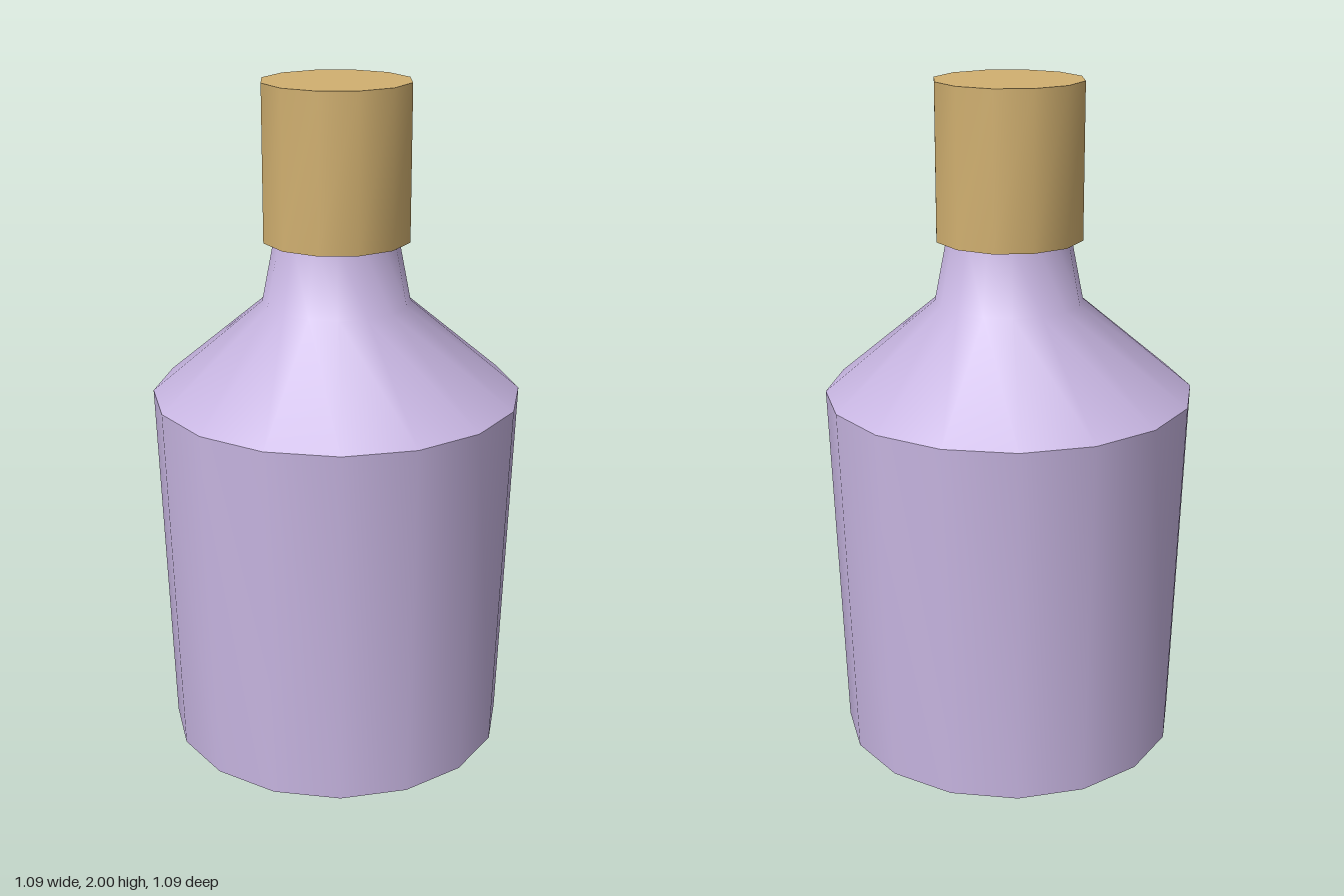
import * as THREE from 'three';
import { toCreasedNormals } from 'three/addons/utils/BufferGeometryUtils.js';

// Keeps the gentle bends smooth and the rims sharp
const CREASE = 0.8;

function addPart(group, name, geometry, color) {
  const material = new THREE.MeshStandardMaterial({ color });
  const mesh = new THREE.Mesh(toCreasedNormals(geometry, CREASE), material);
  mesh.name = name;
  group.add(mesh);
  return mesh;
}

export function createModel() {
  const group = new THREE.Group();
  group.name = 'bottle';

  // Bottle: flared body, sloped shoulder and tapering neck in one turned profile
  const profile = [
    [0, 0],
    [0.51, 0],
    [0.545, 1.09],
    [0.217, 1.365],
    [0.177, 1.57],
    [0, 1.57],
  ].map(([r, y]) => new THREE.Vector2(r, y));
  addPart(group, 'bottleBody', new THREE.LatheGeometry(profile, 16), 0xc8b6e2);

  // Stopper: plain twelve-sided cap over the neck
  const cap = addPart(group, 'stopper', new THREE.CylinderGeometry(0.217, 0.217, 0.45, 12), 0xd1b070);
  cap.position.y = 1.775;

  return group;
}
